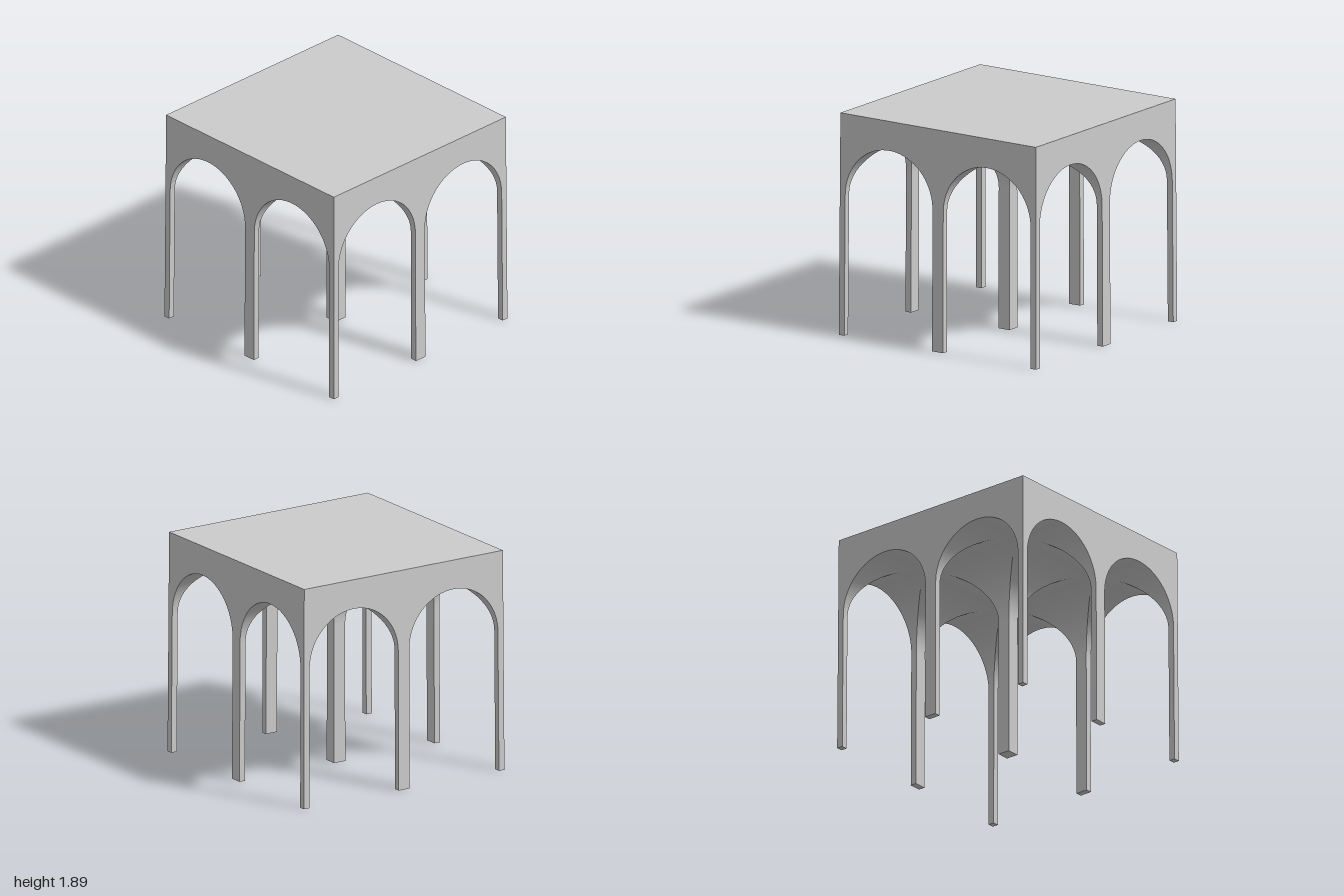
import * as THREE from 'three';

const HEIGHT = 1.89, SPRING = 1.2, RISE = 0.44, RADIUS = 0.445, HALF = 0.5, SEGMENTS = 36;
const PIER = HALF - RADIUS;

const material = new THREE.MeshStandardMaterial({ color: 0xcccccc, side: THREE.DoubleSide });

// The whole structure leans inwards very slightly towards the roof
function lean(geometry) {
  const p = geometry.attributes.position;
  for (let i = 0; i < p.count; i++) {
    const k = 1 - 0.005 * p.getY(i);
    p.setX(i, p.getX(i) * k);
    p.setZ(i, p.getZ(i) * k);
  }
  geometry.computeVertexNormals();
  return geometry;
}

function addPart(parent, name, geometry) {
  const mesh = new THREE.Mesh(lean(geometry), material);
  mesh.name = name;
  parent.add(mesh);
}

// Point on the arch, from the left springing (0) to the right one (1)
function archPoint(t) {
  const a = Math.PI * t;
  return [-RADIUS * Math.cos(a), SPRING + RISE * Math.sin(a)];
}

// One quarter of a groin vault: a barrel cut along the two diagonals of the bay
function vaultWeb() {
  const positions = [], index = [];
  for (let i = 0; i <= SEGMENTS; i++) {
    const [u, y] = archPoint(i / SEGMENTS);
    positions.push(u, y, Math.abs(u), u, y, HALF);
    if (i < SEGMENTS) {
      const a = 2 * i;
      index.push(a, a + 2, a + 1, a + 1, a + 2, a + 3);
    }
  }
  const geometry = new THREE.BufferGeometry();
  geometry.setAttribute('position', new THREE.Float32BufferAttribute(positions, 3));
  geometry.setIndex(index);
  return geometry;
}

// Outer wall above the springing line, with two arches cut from its lower edge
function facadeWall() {
  const shape = new THREE.Shape();
  shape.moveTo(-1, SPRING);
  for (const cx of [-HALF, HALF]) {
    for (let i = 0; i <= SEGMENTS; i++) {
      const [u, y] = archPoint(i / SEGMENTS);
      shape.lineTo(cx + u, y);
    }
  }
  shape.lineTo(1, SPRING);
  shape.lineTo(1, HEIGHT);
  shape.lineTo(-1, HEIGHT);
  shape.closePath();
  return new THREE.ShapeGeometry(shape).translate(0, 0, 1);
}

export function createModel() {
  const model = new THREE.Group();
  model.name = 'vaultedPavilion';

  // Nine piers: slim at the outer edges, double width on the inner lines
  const piers = new THREE.Group();
  piers.name = 'piers';
  model.add(piers);
  const width = (i) => (i === 0 ? 2 * PIER : PIER);
  const centre = (i) => i * (1 - PIER / 2);
  for (const i of [-1, 0, 1]) {
    for (const k of [-1, 0, 1]) {
      const box = new THREE.BoxGeometry(width(i), SPRING, width(k));
      addPart(piers, 'pier', box.translate(centre(i), SPRING / 2, centre(k)));
    }
  }

  // Four bays, each covered by a four-part groin vault
  for (const x of [-HALF, HALF]) {
    for (const z of [-HALF, HALF]) {
      const vault = new THREE.Group();
      vault.name = 'groinVault';
      model.add(vault);
      for (let q = 0; q < 4; q++) {
        addPart(vault, 'vaultWeb', vaultWeb().rotateY(q * Math.PI / 2).translate(x, 0, z));
      }
    }
  }

  // Four arcaded walls
  for (let q = 0; q < 4; q++) {
    addPart(model, 'arcadeWall', facadeWall().rotateY(q * Math.PI / 2));
  }

  // Flat roof
  addPart(model, 'roof', new THREE.PlaneGeometry(2, 2).rotateX(-Math.PI / 2).translate(0, HEIGHT, 0));

  return model;
}
